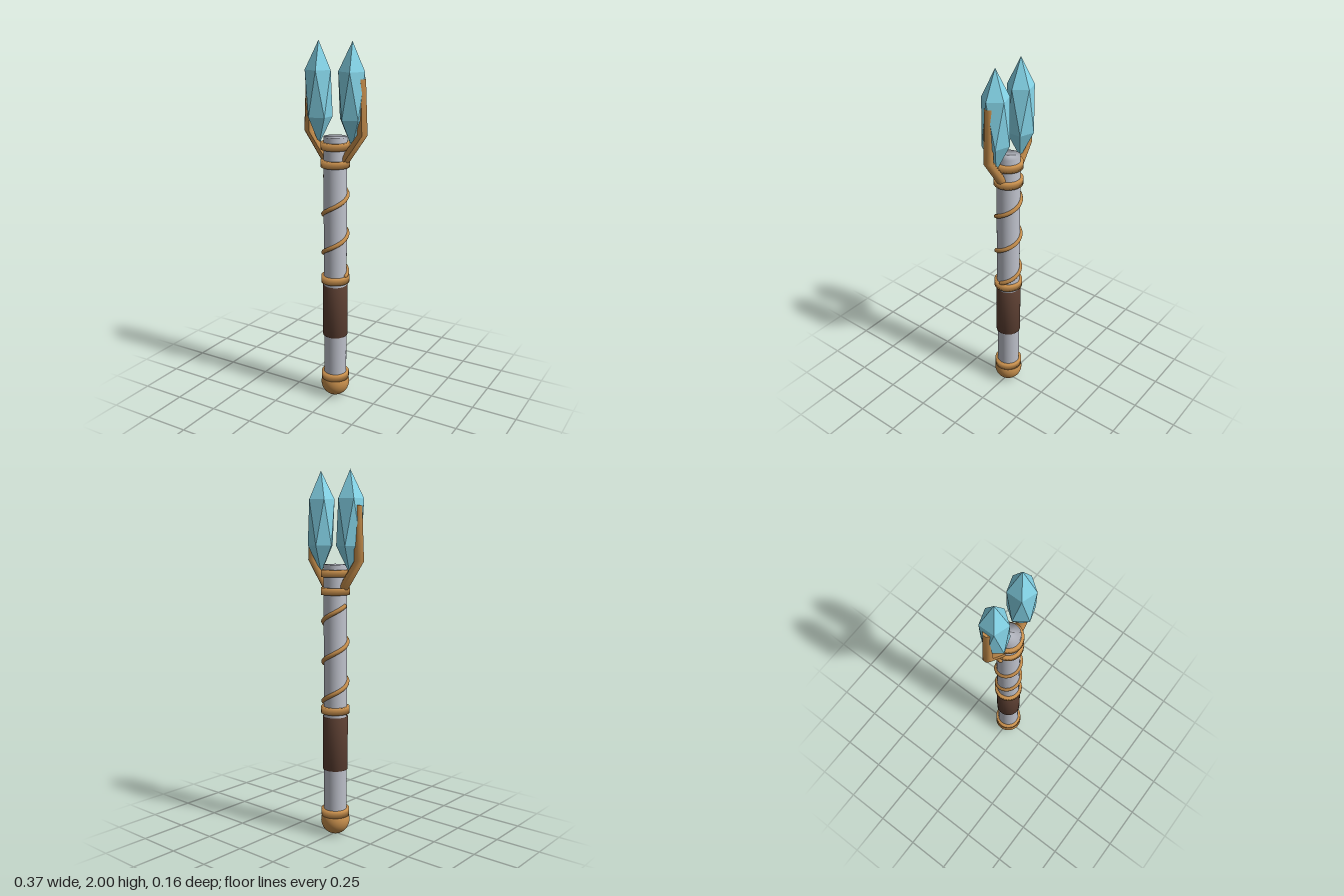
import * as THREE from 'three';
import { ConvexGeometry } from 'three/addons/geometries/ConvexGeometry.js';

export function createModel() {
  const group = new THREE.Group();
  const bronze = new THREE.MeshStandardMaterial({ color: 0xc68e4c });
  const steel = new THREE.MeshStandardMaterial({ color: 0xbec1cb });
  const leather = new THREE.MeshStandardMaterial({ color: 0x5c3f32 });
  const crystal = new THREE.MeshStandardMaterial({ color: 0x86d6ea });

  const add = (name, geometry, material) => {
    const mesh = new THREE.Mesh(geometry, material);
    mesh.name = name;
    group.add(mesh);
    return mesh;
  };

  // Closed rod with softly shaded rims
  const rod = (r, y0, y1) => new THREE.LatheGeometry(
    [[0, y0], [r, y0], [r, y1], [0, y1]].map(([x, y]) => new THREE.Vector2(x, y)), 32);

  // Handle
  add('shaft', rod(0.063, 0.08, 1.51), steel);
  add('grip', rod(0.069, 0.38, 0.68), leather);
  add('pommel', new THREE.SphereGeometry(0.08, 32, 20), bronze).position.y = 0.08;
  for (const y of [0.13, 0.718, 1.368, 1.463]) {
    add('collar', rod(0.078, y - 0.019, y + 0.019), bronze);
  }

  // Wire winding two and a half turns up the shaft
  const turns = 2.5, points = [];
  for (let i = 0; i <= 60; i++) {
    const t = i / 60, a = t * turns * Math.PI * 2;
    points.push(new THREE.Vector3(0.065 * Math.cos(a), 0.74 + 0.55 * t, -0.065 * Math.sin(a)));
  }
  const wire = new THREE.CatmullRomCurve3(points);
  add('spiralWire', new THREE.TubeGeometry(wire, 120, 0.012, 8), bronze);
  for (const p of [points[0], points[60]]) {
    add('wireEnd', new THREE.SphereGeometry(0.012, 8, 6), bronze).position.copy(p);
  }

  // Bent prong: the rings of a cylinder are moved along a kinked path
  // rows: centre x, y, half width in x, half width in z
  const prong = (side) => {
    const rows = [[0.15, 1.815, 0.025, 0.024], [0.16, 1.53, 0.028, 0.026], [0.05, 1.378, 0.031, 0.027]];
    const g = new THREE.CylinderGeometry(1, 1, 2, 8, 2, false, Math.PI / 8);
    const p = g.attributes.position;
    for (let i = 0; i < p.count; i++) {
      const [cx, cy, rx, rz] = rows[1 - Math.round(p.getY(i))];
      p.setXYZ(i, side * cx + p.getX(i) * rx, cy, p.getZ(i) * rz);
    }
    g.computeVertexNormals();
    return g;
  };

  // Stretched twenty-faced crystal: two tips and two staggered rings of five
  const gem = () => {
    const pts = [new THREE.Vector3(0, 0.27, 0), new THREE.Vector3(0, -0.27, 0)];
    for (let i = 0; i < 10; i++) {
      const a = i * Math.PI / 5;
      pts.push(new THREE.Vector3(0.0725 * Math.cos(a), i % 2 ? -0.121 : 0.121, 0.0725 * Math.sin(a)));
    }
    return new ConvexGeometry(pts);
  };

  for (const side of [-1, 1]) {
    const label = side > 0 ? 'left' : 'right';
    add(label + 'Prong', prong(side), bronze);
    add(label + 'Crystal', gem(), crystal).position.set(side * 0.1, 1.73, 0);
  }
  return group;
}
